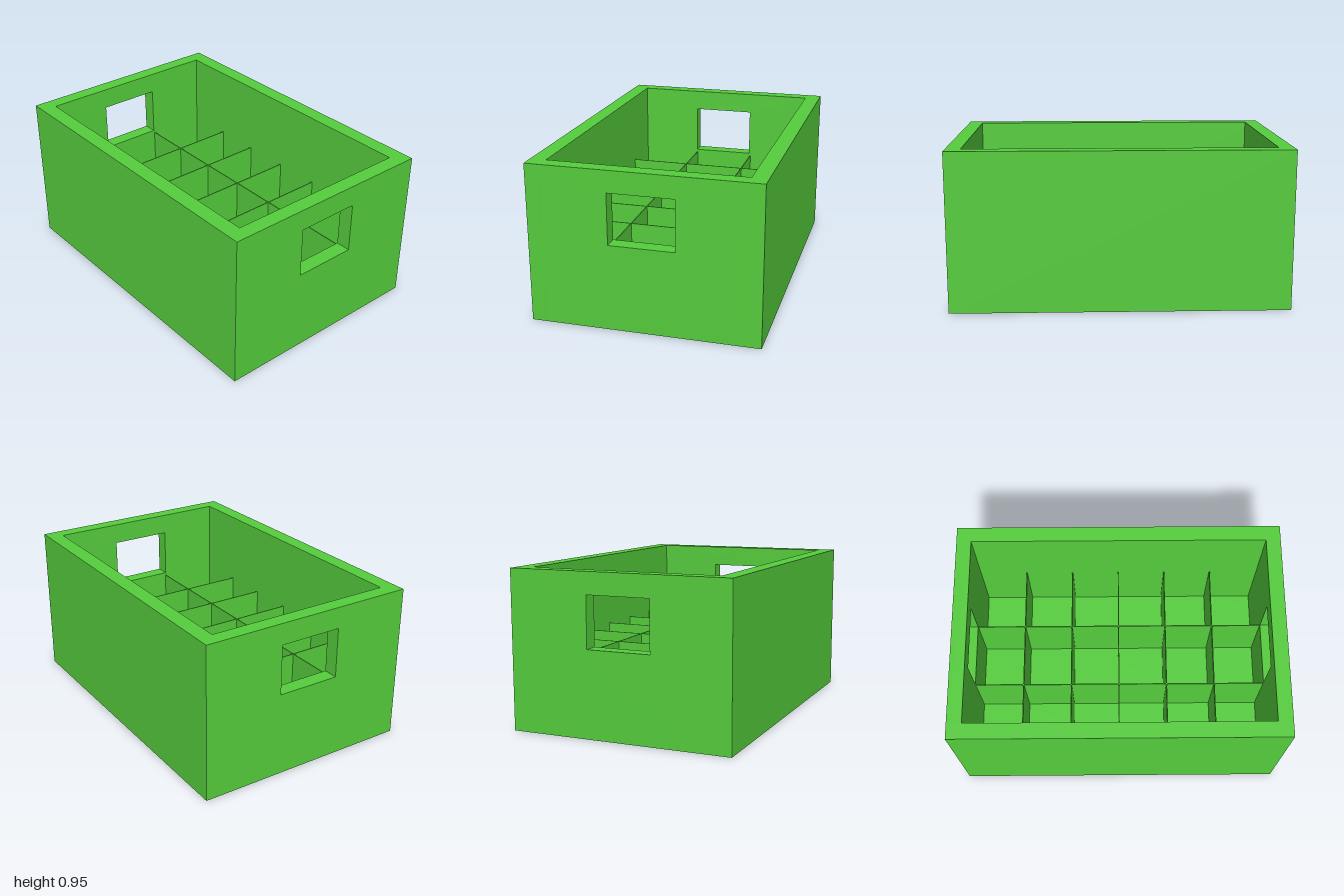
import * as THREE from 'three';

const W = 2, H = 0.95, D = 1.35;       // outer size
const WALL_X = 0.09, WALL_Z = 0.095;   // end wall and long wall thickness
const FLOOR = 0.09;
const DIV_TOP = 0.497, DIV_T = 0.006;  // divider top height and thickness

export function createModel() {
  const crate = new THREE.Group();
  crate.name = 'bottleCrate';
  const green = new THREE.MeshStandardMaterial({ color: 0x55cc3c });

  const add = (name, geometry, x, y, z) => {
    const mesh = new THREE.Mesh(geometry, green);
    mesh.name = name;
    mesh.position.set(x, y, z);
    crate.add(mesh);
    return mesh;
  };
  const box = (name, w, h, d, x, y, z) => add(name, new THREE.BoxGeometry(w, h, d), x, y, z);

  const innerW = W - 2 * WALL_X, innerD = D - 2 * WALL_Z;

  // Floor, inside the four walls
  box('floor', innerW, FLOOR, innerD, 0, FLOOR / 2, 0);

  // Long walls
  for (const [name, s] of [['frontWall', 1], ['backWall', -1]]) {
    box(name, W, H, WALL_Z, 0, H / 2, s * (D - WALL_Z) / 2);
  }

  // End walls with a rectangular hand hole; shape x runs along -z
  const end = new THREE.Shape([
    new THREE.Vector2(-innerD / 2, 0), new THREE.Vector2(innerD / 2, 0),
    new THREE.Vector2(innerD / 2, H), new THREE.Vector2(-innerD / 2, H),
  ]);
  end.holes.push(new THREE.Path([
    new THREE.Vector2(-0.2, 0.515), new THREE.Vector2(-0.2, 0.82),
    new THREE.Vector2(0.187, 0.82), new THREE.Vector2(0.187, 0.515),
  ]));
  const endGeometry = new THREE.ExtrudeGeometry(end, { depth: WALL_X, bevelEnabled: false });
  endGeometry.rotateY(Math.PI / 2);
  add('leftEndWall', endGeometry, W / 2 - WALL_X, 0, 0);
  add('rightEndWall', endGeometry, -W / 2, 0, 0);

  // Thin dividers forming a six by three grid of cells
  const divH = DIV_TOP - FLOOR, divY = FLOOR + divH / 2;
  for (let i = 0; i < 5; i++) {
    box('crossDivider', DIV_T, divH, innerD, -0.607 + i * 0.302, divY, 0);
  }
  for (const z of [-0.195, 0.2]) {
    box('longDivider', innerW, divH, DIV_T, 0, divY, z);
  }
  return crate;
}
